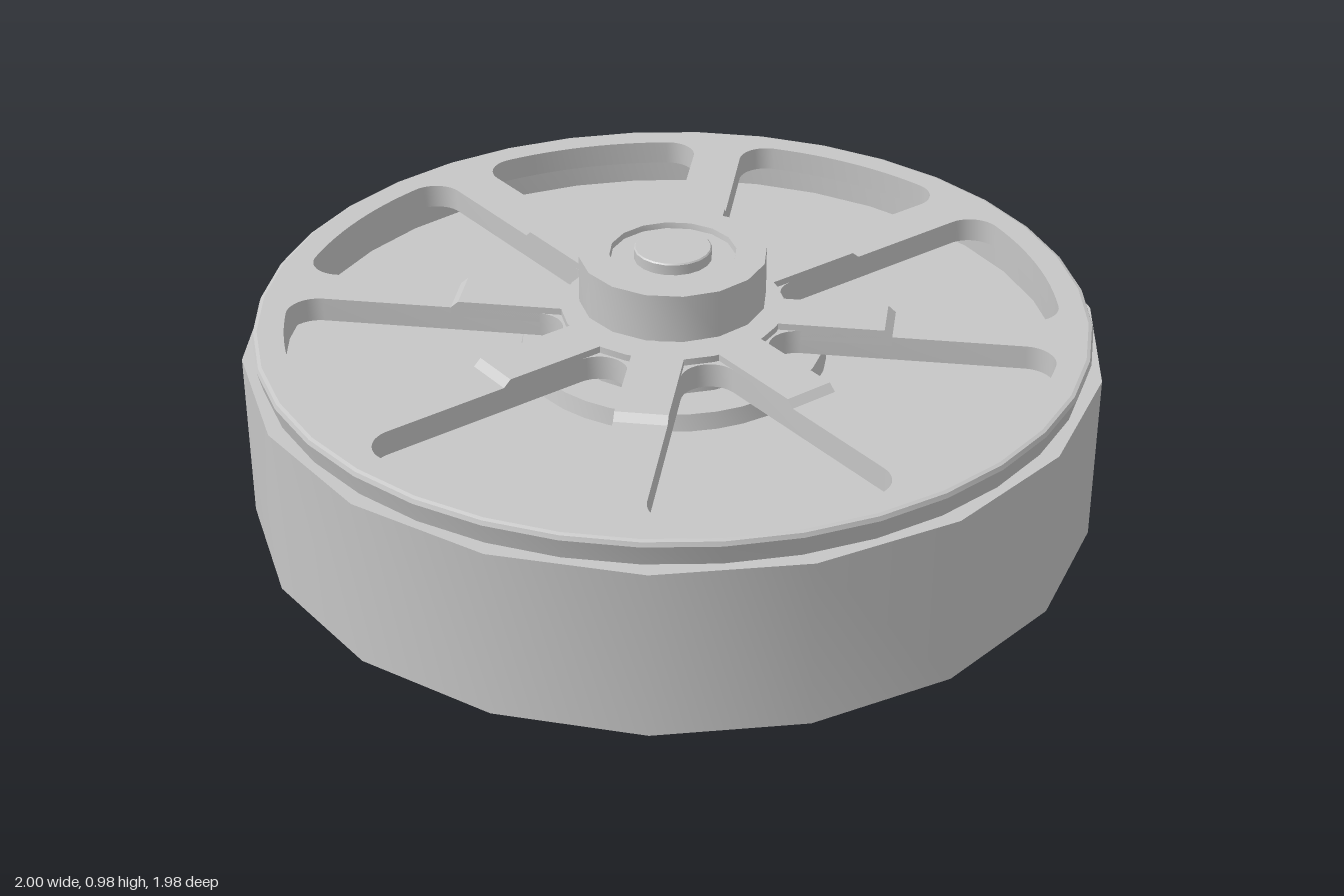
import * as THREE from 'three';
import { toCreasedNormals } from 'three/addons/utils/BufferGeometryUtils.js';

const metal = new THREE.MeshStandardMaterial({ color: 0xc6c6c6 });
metal.name = 'grey metal';
const rad = THREE.MathUtils.degToRad;

export function createModel() {
  const model = new THREE.Group();
  model.name = 'outrunnerMotor';

  function add(name, geometry) {
    const mesh = new THREE.Mesh(toCreasedNormals(geometry, 0.5), metal);
    mesh.name = name;
    model.add(mesh);
    return mesh;
  }

  // Turned part from [radius, height] pairs, outside going upwards
  function turned(name, profile, sides, startDeg = 0) {
    const pts = profile.map(([r, y]) => new THREE.Vector2(r, y));
    return add(name, new THREE.LatheGeometry(pts, sides, rad(startDeg)));
  }

  // Points of a regular polygon lying on the ground plane
  function circle(x, z, r, n) {
    return Array.from({ length: n }, (_, i) => {
      const a = (i / n) * Math.PI * 2;
      return new THREE.Vector2(x + r * Math.cos(a), z + r * Math.sin(a));
    });
  }

  function roundHole(deg, dist, r, n = 16) {
    return new THREE.Path(circle(dist * Math.cos(rad(deg)), dist * Math.sin(rad(deg)), r, n));
  }

  // Flat plate with holes, between two heights
  function plate(name, outline, holes, bottom, top) {
    const shape = new THREE.Shape(outline);
    shape.holes.push(...holes);
    const geo = new THREE.ExtrudeGeometry(shape, { depth: top - bottom, bevelEnabled: false, curveSegments: 6 });
    geo.rotateX(Math.PI / 2).translate(0, top, 0);
    return add(name, geo);
  }

  // Drilled disc with chamfered edges
  function drilledDisc(name, r, bottom, top, chamfer, sides, holes) {
    const c = chamfer;
    plate(name, circle(0, 0, r - c, sides), holes, bottom, top);
    turned(name + 'Edge', [[r - c, bottom], [r, bottom + c], [r, top - c], [r - c, top]], sides);
  }

  // Rotor drum, open at the top
  turned('drum', [[0, 0.34], [1, 0.34], [1, 0.75], [0.93, 0.75], [0.93, 0.4], [0, 0.4]], 18, 11);

  // Stator inside the drum, with a low central boss
  turned('stator', [[0.91, 0.4], [0.91, 0.7], [0.36, 0.7], [0.352, 0.74], [0, 0.74]], 36);

  // Rounded wedge opening between two spokes
  function spokeWindow(centreDeg) {
    const base = rad(centreDeg), half = rad(22.5), gap = 0.06, outer = 0.9, corner = 0.07, inner = 0.33;
    const dist = outer - corner;
    const spread = half - Math.asin((gap + corner) / dist);
    const path = new THREE.Path();
    const arc = (r, a, size, from, to) =>
      path.absarc(r * Math.cos(base + a), r * Math.sin(base + a), size, base + from, base + to, false);
    arc(0, 0, outer, -spread, spread);
    arc(dist, spread, corner, spread, half + Math.PI / 2);
    arc(inner, 0, inner * Math.sin(half) - gap, half + Math.PI / 2, 1.5 * Math.PI - half);
    arc(dist, -spread, corner, -half - Math.PI / 2, -spread);
    return path;
  }

  // Spoked cover and its tapered rim
  const windows = Array.from({ length: 8 }, (_, i) => spokeWindow(36.5 + i * 45));
  plate('spokedCover', circle(0, 0, 0.962, 36), windows, 0.755, 0.813);
  turned('coverRim', [[0.96, 0.745], [0.974, 0.8], [0.97, 0.81], [0.962, 0.813]], 36);

  // Raised inner part of every spoke, stepping down at its outer end
  for (let i = 0; i < 8; i++) {
    const side = new THREE.Shape([[0.15, 0.79], [0.515, 0.79], [0.515, 0.813], [0.497, 0.829], [0.15, 0.829]]
      .map(([x, y]) => new THREE.Vector2(x, y)));
    const geo = new THREE.ExtrudeGeometry(side, { depth: 0.12, bevelEnabled: false });
    geo.translate(0, 0, -0.06).rotateY(-rad(14 + i * 45));
    add('spokeRise', geo);
  }

  // Hub, bearing and shaft end
  turned('hub', [[0.26, 0.73], [0.26, 0.829], [0.18, 0.829], [0.18, 0.86]], 24);
  turned('bearing', [[0.17, 0.85], [0.218, 0.85], [0.218, 0.966], [0.147, 0.966], [0.145, 0.952], [0, 0.952]], 16);
  turned('shaftEnd', [[0.09, 0.94], [0.09, 0.977], [0.087, 0.98], [0, 0.98]], 20);

  // Mounting flange with eight screw holes
  const flangeHoles = Array.from({ length: 8 }, (_, i) => roundHole(i * 45, 0.6, 0.027, 12));
  drilledDisc('mountFlange', 0.65, 0.24, 0.345, 0.016, 20, flangeHoles);

  // Stepped base below the flange
  turned('baseStep', [[0, 0.18], [0.535, 0.18], [0.535, 0.25]], 20);
  turned('baseNeck', [[0, 0.165], [0.48, 0.165], [0.48, 0.185]], 20);

  // End disc with bore, small holes and counterbores
  const endHoles = [roundHole(0, 0, 0.18, 24)];
  for (let i = 0; i < 6; i++) endHoles.push(roundHole(-20 + i * 60, 0.37, 0.035, 12));
  for (let i = 0; i < 3; i++) endHoles.push(roundHole(-50 + i * 120, 0.375, 0.088));
  drilledDisc('endDisc', 0.505, 0.08, 0.175, 0.01, 20, endHoles);
  turned('lowerBearing', [[0.13, 0.165], [0.13, 0.09], [0.18, 0.09]], 24);

  for (let i = 0; i < 3; i++) {
    // Sunk screw head with a hexagon socket
    const a = rad(-50 + i * 120);
    const x = 0.375 * Math.cos(a), z = 0.375 * Math.sin(a);
    plate('screwHead', circle(x, z, 0.072, 16), [new THREE.Path(circle(x, z, 0.04, 6))], 0.105, 0.165);

    // Drive peg
    const b = rad(10 + i * 120);
    turned('drivePeg', [[0, 0], [0.055, 0], [0.059, 0.004], [0.059, 0.09]], 16)
      .position.set(0.3 * Math.cos(b), 0, 0.3 * Math.sin(b));
  }

  return model;
}
